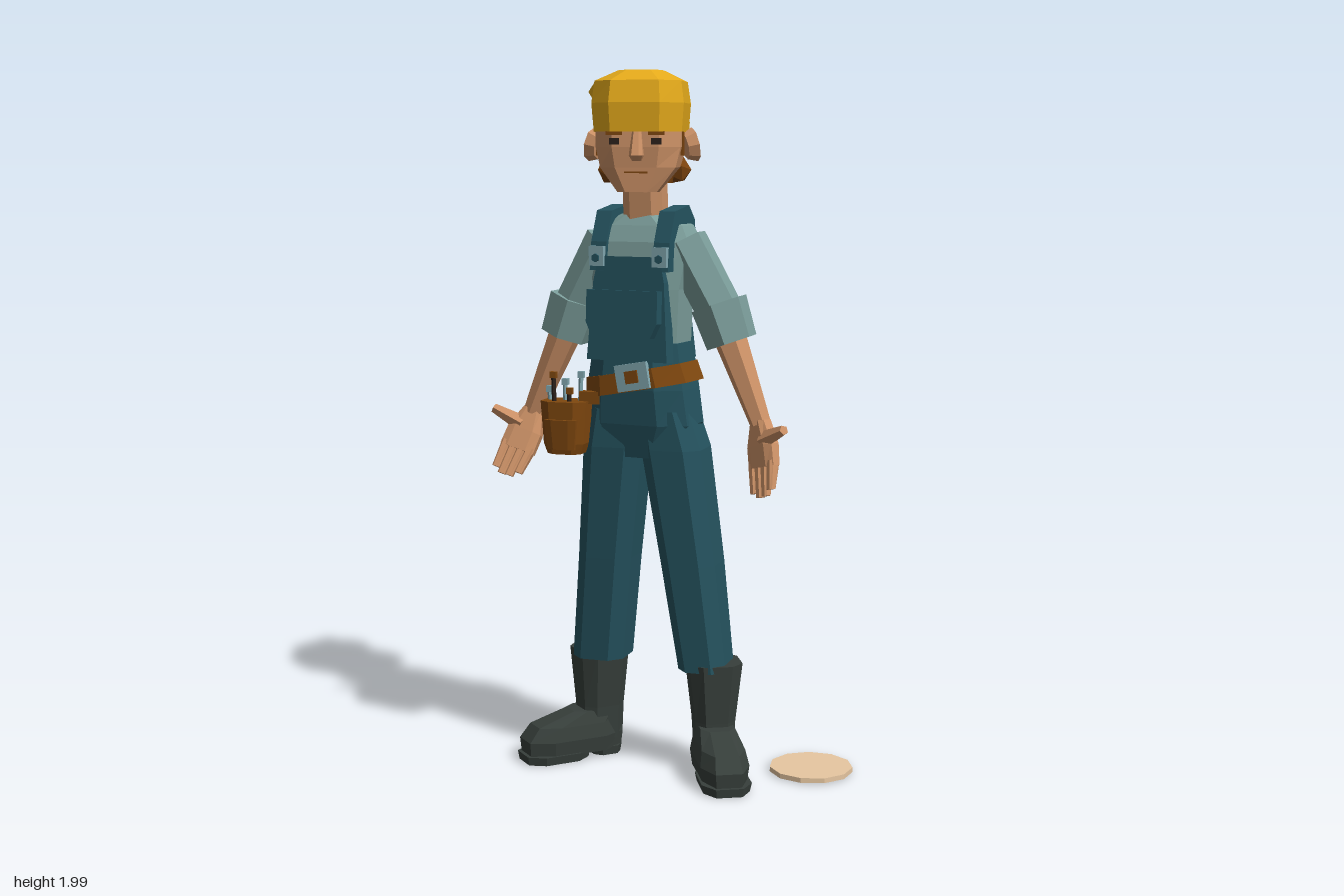
import * as THREE from 'three';
import { ConvexGeometry } from 'three/addons/geometries/ConvexGeometry.js';

const colours = {
  capYellow: 0xe4aa1b, skin: 0xcd9267, hairBrown: 0x7c440f, denim: 0x25535f, shirt: 0x7b9d9a,
  boot: 0x373f3b, leather: 0x80480f, metal: 0x82a8b0, stone: 0xe9c9a3, dark: 0x2b211b,
};
const M = {};
for (const [name, color] of Object.entries(colours)) {
  M[name] = new THREE.MeshStandardMaterial({ color });
  M[name].name = name;
}

// Faceted mesh with a name
function part(parent, name, geo, mat, pos = [0, 0, 0], rot = [0, 0, 0]) {
  const g = geo.index ? geo.toNonIndexed() : geo;
  g.computeVertexNormals();
  const m = new THREE.Mesh(g, mat);
  m.name = name;
  m.position.set(...pos);
  m.rotation.set(...rot);
  parent.add(m);
  return m;
}

function group(parent, name, pos = [0, 0, 0], rot = [0, 0, 0]) {
  const g = new THREE.Group();
  g.name = name;
  g.position.set(...pos);
  g.rotation.set(...rot);
  parent.add(g);
  return g;
}

// Chamfered eight-sided sections [x, y, z, halfWidth, halfDepth], bottom to top
function loft(rings, k = 0.55) {
  const oct = [[1, -k], [1, k], [k, 1], [-k, 1], [-1, k], [-1, -k], [-k, -1], [k, -1]];
  const pos = [], idx = [], n = 8, last = rings.length - 1;
  for (const [x, y, z, rx, rz] of rings) for (const [a, b] of oct) pos.push(x + a * rx, y, z + b * rz);
  for (const i of [0, last]) pos.push(rings[i][0], rings[i][1], rings[i][2]);
  const bottom = rings.length * n, top = bottom + 1;
  for (let j = 0; j < n; j++) {
    const e = (j + 1) % n;
    for (let i = 0; i < last; i++) {
      const a = i * n + j, b = i * n + e;
      idx.push(a, a + n, b, b, a + n, b + n);
    }
    idx.push(bottom, j, e, top, last * n + e, last * n + j);
  }
  const g = new THREE.BufferGeometry();
  g.setAttribute('position', new THREE.Float32BufferAttribute(pos, 3));
  g.setIndex(idx);
  return g;
}

// Tapered prism between two points
function limb(parent, name, a, b, ra, rb, mat, sides = 6) {
  const A = new THREE.Vector3(...a), B = new THREE.Vector3(...b), d = B.clone().sub(A);
  const m = part(parent, name, new THREE.CylinderGeometry(rb, ra, d.length(), sides), mat);
  m.position.copy(A).add(B).multiplyScalar(0.5);
  m.quaternion.setFromUnitVectors(new THREE.Vector3(0, 1, 0), d.normalize());
}

const box = (w, h, d) => new THREE.BoxGeometry(w, h, d);
const extrude = (pts, depth) => new THREE.ExtrudeGeometry(
  new THREE.Shape(pts.map(([x, y]) => new THREE.Vector2(x, y))), { depth, bevelEnabled: false });

function buildTorso(root) {
  const t = group(root, 'torso', [-0.065, 0, -0.02], [0, -0.14, 0]);
  part(t, 'shirtBody', loft([
    [0, 1.2, 0, 0.125, 0.085], [0, 1.4, 0, 0.135, 0.088], [0, 1.53, -0.012, 0.155, 0.08],
    [0, 1.575, -0.02, 0.13, 0.068], [0, 1.605, -0.025, 0.065, 0.055]]), M.shirt);
  part(t, 'trouserHips', loft([
    [0, 0.925, -0.01, 0.1, 0.085], [0, 1.02, -0.005, 0.162, 0.098], [0, 1.12, 0, 0.15, 0.1],
    [0, 1.25, 0, 0.131, 0.092]]), M.denim);
  // Bib, pocket and back panel, the front leaning back slightly
  part(t, 'bib', extrude([[-0.125, 1.2], [0.125, 1.2], [0.11, 1.42], [0.095, 1.49], [-0.095, 1.49], [-0.11, 1.42]], 0.045),
    M.denim, [0, 0, 0.132], [-0.06, 0, 0]);
  part(t, 'bibPocket', extrude([[-0.09, 1.27], [0.09, 1.27], [0.11, 1.31], [0.11, 1.4], [-0.11, 1.4], [-0.11, 1.31]], 0.03),
    M.denim, [0, 0, 0.186], [-0.06, 0, 0]);
  part(t, 'backPanel', extrude([[-0.12, 1.2], [0.12, 1.2], [0.085, 1.48], [-0.085, 1.48]], 0.04),
    M.denim, [0, 0, -0.096]);
  // Straps arch over the shoulders
  const arch = [[0.09, 1.45], [0.08, 1.53], [0.045, 1.615], [-0.045, 1.63], [-0.082, 1.59], [-0.1, 1.44],
    [-0.06, 1.44], [-0.05, 1.56], [0.02, 1.57], [0.05, 1.45]];
  for (const s of [-1, 1]) {
    const strap = extrude(arch, 0.048).rotateY(-Math.PI / 2);
    part(t, 'shoulderStrap', strap, M.denim, [s * 0.098 + 0.024, 0, 0]);
    part(t, 'strapBuckle', box(0.045, 0.055, 0.02), M.metal, [s * 0.098, 1.49, 0.088]);
    part(t, 'strapButton', new THREE.CylinderGeometry(0.012, 0.012, 0.008, 6), M.denim,
      [s * 0.098, 1.485, 0.1], [Math.PI / 2, 0, 0]);
  }
  // Sloping belt with buckle
  const belt = group(t, 'belt', [0, 1.142, 0], [0, 0, 0.18]);
  part(belt, 'beltBand', loft([[0, -0.028, 0, 0.16, 0.107], [0, 0.028, 0, 0.15, 0.104]]), M.leather);
  part(belt, 'buckle', box(0.1, 0.075, 0.016), M.metal, [0.025, 0.012, 0.109]);
  part(belt, 'buckleCentre', box(0.04, 0.035, 0.008), M.leather, [0.025, 0.012, 0.117]);
}

function buildLegs(root) {
  // Trouser sections follow each leg's stance
  const legs = [
    ['rightLeg', [[-0.213, 0.31, -0.085, 0.077, 0.082], [-0.18, 0.62, -0.06, 0.08, 0.088], [-0.145, 0.95, -0.035, 0.088, 0.093], [-0.135, 1.06, -0.03, 0.075, 0.088]],
      [-0.225, 0, -0.085], -0.78, 1.02],
    ['leftLeg', [[0.12, 0.31, -0.035, 0.07, 0.08], [0.08, 0.62, -0.03, 0.08, 0.088], [0.033, 0.95, -0.02, 0.088, 0.093], [0.01, 1.06, -0.015, 0.075, 0.088]],
      [0.142, 0, -0.035], 0.47, 1.08],
  ];
  for (const [name, rings, foot, yaw, len] of legs) {
    const leg = group(root, name);
    part(leg, 'trouserLeg', loft(rings), M.denim);
    const b = group(leg, 'boot', foot, [0, yaw, 0]);
    part(b, 'bootShaft', loft([[0, 0.06, 0, 0.052, 0.06], [0, 0.16, 0, 0.058, 0.063], [0, 0.33, 0, 0.077, 0.076]]), M.boot);
    const f = group(b, 'foot');
    f.scale.z = len;
    part(f, 'bootFoot', loft([[0, 0.03, 0.091, 0.064, 0.142], [0, 0.075, 0.091, 0.07, 0.146],
      [0, 0.115, 0.08, 0.062, 0.126], [0, 0.15, 0.025, 0.05, 0.07]]), M.boot);
    part(f, 'frontSole', loft([[0, 0.01, 0.147, 0.066, 0.093], [0, 0.035, 0.147, 0.071, 0.097]]), M.boot);
    part(f, 'bootHeel', loft([[0, 0.01, -0.01, 0.05, 0.042], [0, 0.035, -0.01, 0.054, 0.046]]), M.boot);
  }
}

function buildArms(root) {
  const arms = [
    ['rightArm', -1, [-0.175, 1.53, -0.045], [-0.283, 1.33, -0.055], [-0.418, 1.025, -0.06], [-0.36, 0.1, -0.28]],
    ['leftArm', 1, [0.055, 1.53, -0.02], [0.166, 1.33, -0.02], [0.29, 1.03, 0.012], [-0.1, -0.6, 0.2]],
  ];
  for (const [name, s, shoulder, elbow, wrist, rot] of arms) {
    const arm = group(root, name);
    limb(arm, 'sleeve', shoulder, elbow, 0.068, 0.066, M.shirt);
    const cuffEnd = elbow.map((v, i) => v + [s * 0.03, -0.078, 0][i]);
    const cuffStart = elbow.map((v, i) => v + [-s * 0.008, 0.03, 0][i]);
    limb(arm, 'sleeveCuff', cuffStart, cuffEnd, 0.082, 0.074, M.shirt);
    limb(arm, 'forearm', elbow, wrist, 0.052, 0.03, M.skin);
    // Hand hangs from the wrist with the thumb outward
    const hand = group(arm, 'hand', wrist, rot);
    part(hand, 'palm', loft([[0, -0.12, 0.003, 0.053, 0.02], [0, -0.06, 0, 0.052, 0.024], [0, 0.01, 0, 0.028, 0.024]]), M.skin);
    for (let i = 0; i < 4; i++) {
      const x = (i - 1.5) * 0.026, len = [0.075, 0.088, 0.086, 0.07][i];
      part(hand, 'finger', loft([[x * 0.9, -0.115 - len, 0.016, 0.0115, 0.011], [x, -0.105, 0.002, 0.013, 0.018]]), M.skin);
    }
    limb(hand, 'thumb', [s * 0.015, -0.045, 0.005], [s * 0.112, -0.032, 0.016], 0.026, 0.014, M.skin, 5);
  }
}

function buildHead(root) {
  part(root, 'neck', loft([[-0.06, 1.56, -0.035, 0.058, 0.046], [-0.06, 1.72, -0.02, 0.057, 0.05]]), M.skin);
  const h = group(root, 'head', [-0.065, 0, -0.01], [0, 0.18, 0]);
  part(h, 'face', loft([[0, 1.668, 0.06, 0.055, 0.05], [0, 1.735, 0.025, 0.105, 0.09],
    [0, 1.79, 0.005, 0.118, 0.117], [0, 1.87, 0, 0.119, 0.122]]), M.skin);
  part(h, 'nose', loft([[0.005, 1.753, 0.125, 0.012, 0.015], [0.005, 1.768, 0.13, 0.019, 0.028], [0.005, 1.84, 0.112, 0.012, 0.02]]), M.skin);
  part(h, 'mouth', box(0.065, 0.005, 0.008), M.hairBrown, [0, 1.722, 0.111]);
  for (const s of [-1, 1]) {
    part(h, 'eye', box(0.028, 0.018, 0.008), M.dark, [s * 0.058, 1.806, 0.119]);
    part(h, 'eyebrow', box(0.045, 0.01, 0.008), M.hairBrown, [s * 0.058, 1.828, 0.12]);
    part(h, 'sideburn', box(0.008, 0.075, 0.03), M.hairBrown, [s * 0.118, 1.805, 0.03]);
    const ear = part(h, 'ear', new THREE.CylinderGeometry(0.048, 0.036, 0.03, 8), M.skin,
      [s * 0.133, 1.795, -0.02], [0, s * 0.5, -s * 1.35]);
    ear.scale.z = 0.75;
  }
  // Curls round the back of the head
  part(h, 'backHair', loft([[0, 1.69, -0.075, 0.075, 0.05], [0, 1.8, -0.07, 0.105, 0.07]]), M.hairBrown);
  for (let i = 0; i < 7; i++) {
    const a = (i / 6 - 0.5) * 2.1;
    part(h, 'curl', new THREE.IcosahedronGeometry(0.042, 0), M.hairBrown,
      [Math.sin(a) * 0.108 - 0.008, 1.727 + (i % 2) * 0.012, -0.04 - Math.cos(a) * 0.115], [i, i * 2, 0]);
  }
  // Cap worn backwards, with a wedge of upturned brim
  part(h, 'capCrown', loft([[0, 1.832, 0, 0.122, 0.137], [0, 1.91, 0, 0.128, 0.143],
    [0, 1.97, 0, 0.12, 0.13], [0, 2.0, -0.01, 0.06, 0.07]]), M.capYellow);
  part(h, 'capBackFlap', loft([[0, 1.775, -0.092, 0.116, 0.05], [0, 1.86, -0.085, 0.12, 0.058]]), M.capYellow);
  const brim = [[-0.245, 1.945, -0.07], [-0.19, 1.955, -0.21], [-0.02, 1.962, -0.205], [0.03, 1.962, -0.11],
    [-0.19, 1.972, 0.02], [-0.12, 1.99, -0.03], [0, 1.985, -0.05], [-0.195, 1.9, -0.01], [-0.14, 1.88, -0.135],
    [-0.02, 1.88, -0.135], [0.03, 1.9, -0.08], [-0.18, 1.92, -0.195], [-0.03, 1.92, -0.192]];
  part(root, 'capBrim', new ConvexGeometry(brim.map((p) => new THREE.Vector3(...p))), M.capYellow);
}

function buildPouch(root) {
  const p = group(root, 'toolPouch', [-0.268, 0, 0.06]);
  part(p, 'pouchBag', loft([[0, 0.93, 0, 0.05, 0.04], [0, 0.96, 0, 0.06, 0.046], [0, 1.08, 0, 0.068, 0.05]]), M.leather);
  part(p, 'pouchPocket', loft([[0, 0.945, 0.04, 0.04, 0.012], [0, 1.03, 0.045, 0.048, 0.015]]), M.leather);
  part(p, 'pouchLoop', box(0.06, 0.035, 0.03), M.leather, [0.07, 1.09, -0.01]);
  for (let i = 0; i < 5; i++) {
    const x = -0.05 + i * 0.022, z = (i % 2) * 0.03 - 0.01, y = 1.11 + ((i * 2) % 3) * 0.022;
    limb(p, 'toolHandle', [x, 1.05, z], [x * 1.1, y, z], 0.007, 0.007, i % 2 ? M.dark : M.metal, 5);
    part(p, 'toolHead', box(0.018, 0.018, 0.014), i % 2 ? M.leather : M.metal, [x * 1.1, y, z]);
  }
}

export function createModel() {
  const root = new THREE.Group();
  root.name = 'overallsWorker';
  buildTorso(root);
  buildLegs(root);
  buildArms(root);
  buildHead(root);
  buildPouch(root);
  // Flat disc lying on the ground
  part(root, 'groundDisc', new THREE.CylinderGeometry(0.12, 0.12, 0.014, 11), M.stone, [0.417, 0.019, -0.1]);
  return root;
}
